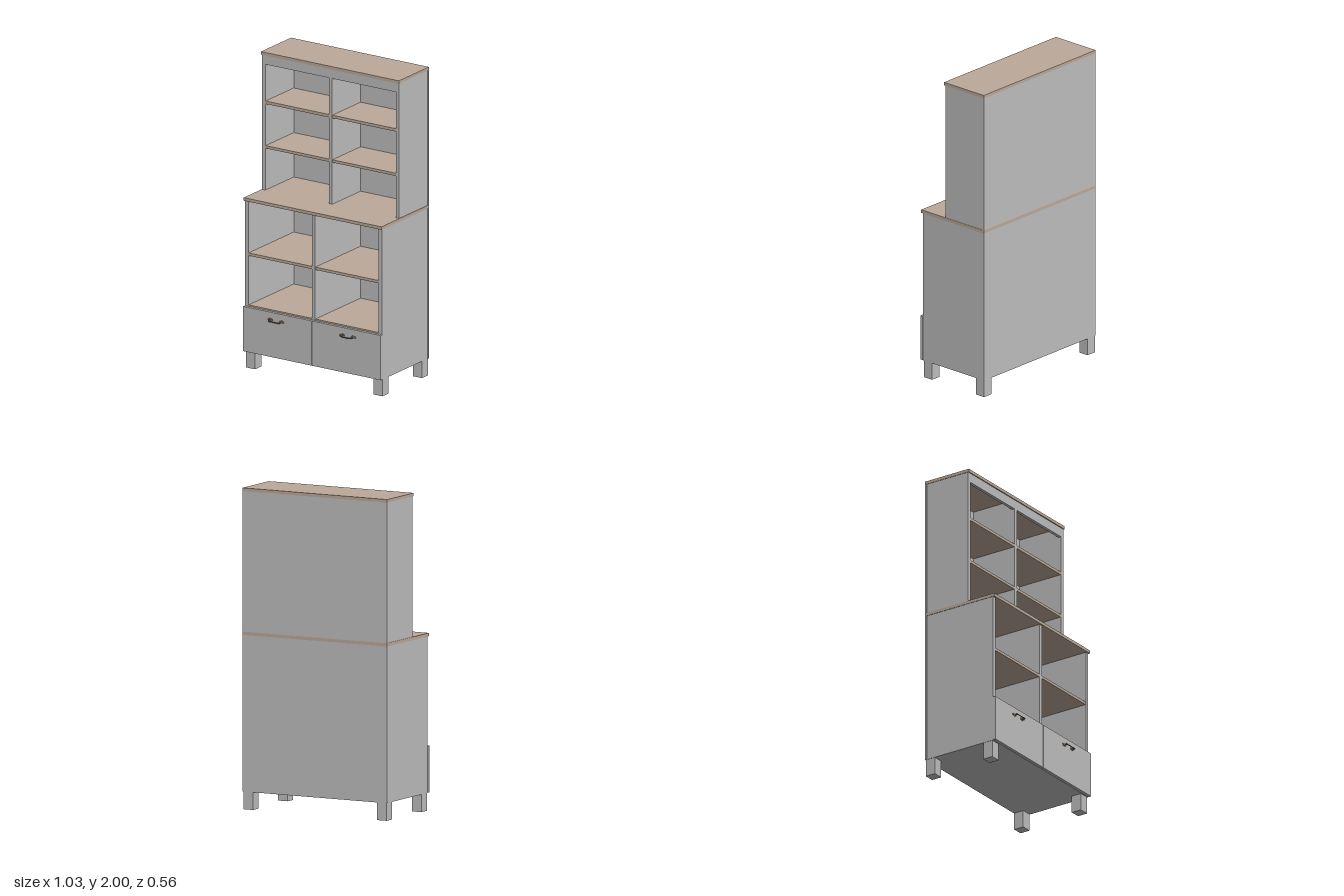
import * as THREE from 'three';

const grey = new THREE.MeshStandardMaterial({ color: 0xbfbfbf });
grey.name = 'painted grey';
const wood = new THREE.MeshStandardMaterial({ color: 0xbcaa9a });
wood.name = 'pale wood';
const metal = new THREE.MeshStandardMaterial({ color: 0x8a7560 });
metal.name = 'aged metal';

// Box given by its extents on each axis
function slab(parent, name, material, [x0, x1], [y0, y1], [z0, z1]) {
  const mesh = new THREE.Mesh(new THREE.BoxGeometry(x1 - x0, y1 - y0, z1 - z0), material);
  mesh.position.set((x0 + x1) / 2, (y0 + y1) / 2, (z0 + z1) / 2);
  mesh.name = name;
  parent.add(mesh);
  return mesh;
}

// Bow handle: two mounting flanges, two collars and a bent bar
function makeHandle() {
  const handle = new THREE.Group();
  handle.name = 'drawerHandle';
  const path = new THREE.CatmullRomCurve3([
    [-0.036, 0, 0], [-0.038, 0, 0.01], [-0.041, -0.001, 0.018], [-0.035, -0.003, 0.024],
    [0, -0.004, 0.025],
    [0.035, -0.003, 0.024], [0.041, -0.001, 0.018], [0.038, 0, 0.01], [0.036, 0, 0],
  ].map((p) => new THREE.Vector3(...p)));
  const bar = new THREE.Mesh(new THREE.TubeGeometry(path, 40, 0.0035, 8), metal);
  bar.name = 'handleBar';
  handle.add(bar);
  for (const s of [-1, 1]) {
    const flange = new THREE.Mesh(new THREE.CylinderGeometry(0.01, 0.01, 0.004, 16), metal);
    flange.name = 'handleFlange';
    flange.rotation.x = Math.PI / 2;
    flange.scale.x = 1.9;
    flange.position.set(s * 0.042, 0, 0.002);
    const collar = new THREE.Mesh(new THREE.SphereGeometry(0.006, 12, 8), metal);
    collar.name = 'handleCollar';
    collar.position.set(s * 0.041, 0, 0.018);
    handle.add(flange, collar);
  }
  return handle;
}

export function createModel() {
  const model = new THREE.Group();
  model.name = 'hutchCabinet';
  const back = -0.28, inner = -0.268;
  const lowFront = 0.23, topFront = 0.043;
  const W = 0.513, side = 0.51, inside = 0.485, half = 0.012;

  // Wooden tops
  slab(model, 'counterTop', wood, [-W, W], [1.085, 1.105], [back, 0.241]);
  slab(model, 'hutchTop', wood, [-W, W], [1.98, 2], [back, 0.05]);

  // Back panels, bottom and hutch rail
  slab(model, 'lowerBack', grey, [-W, W], [0.11, 1.085], [back, inner]);
  slab(model, 'upperBack', grey, [-W, W], [1.105, 1.98], [back, inner]);
  slab(model, 'bottomPanel', grey, [-inside, inside], [0.11, 0.13], [inner, lowFront]);
  slab(model, 'hutchRail', grey, [-inside, inside], [1.92, 1.98], [topFront - 0.02, topFront]);

  // Central dividers
  slab(model, 'lowerDivider', grey, [-half, half], [0.13, 1.085], [inner, lowFront]);
  slab(model, 'upperDivider', grey, [-half, half], [1.105, 1.92], [inner, topFront]);
  slab(model, 'upperDividerTop', grey, [-half, half], [1.92, 1.98], [inner, topFront - 0.02]);

  for (const s of [-1, 1]) {
    const span = (a, b) => (s > 0 ? [a, b] : [-b, -a]);

    // Side panels
    slab(model, 'lowerSide', grey, span(inside, side), [0.11, 1.085], [inner, lowFront]);
    slab(model, 'upperSide', grey, span(inside, side), [1.105, 1.98], [inner, topFront]);

    // Shelves
    for (const [y0, y1, front] of [
      [0.392, 0.411, lowFront], [0.73, 0.748, lowFront],
      [1.375, 1.393, topFront], [1.663, 1.682, topFront],
    ]) {
      slab(model, 'shelf', wood, span(half, inside), [y0, y1], [inner, front - 0.002]);
    }

    // Drawer front with its handle
    slab(model, 'drawerFront', grey, span(0.002, 0.512), [0.112, 0.402], [lowFront, 0.249]);
    const handle = makeHandle();
    handle.position.set(s * 0.267, 0.353, 0.249);
    model.add(handle);

    // Legs
    for (const z of [[0.155, 0.223], [-0.278, -0.21]]) {
      slab(model, 'leg', grey, span(0.44, 0.508), [0, 0.11], z);
    }
  }
  return model;
}
